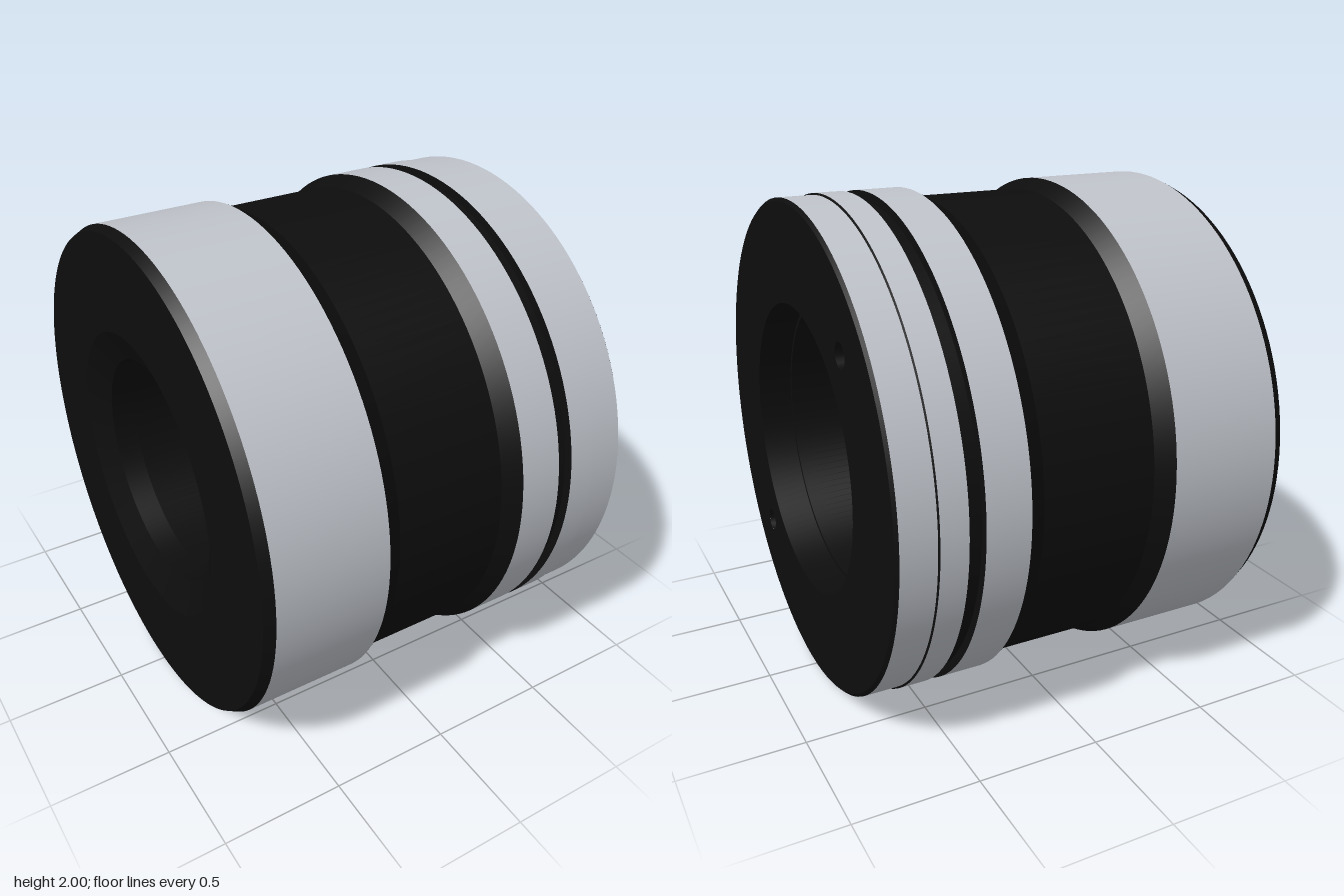
import * as THREE from 'three';

const SEG = 128;
const silver = new THREE.MeshStandardMaterial({ color: 0xc0c4cb });
const black = new THREE.MeshStandardMaterial({ color: 0x0d0d0d });

// Each profile is a run of [x, radius]; every span is its own lathe so edges stay crisp.
function turned(name, material, profile, segments = SEG) {
  const part = new THREE.Group();
  part.name = name;
  for (let i = 0; i < profile.length - 1; i++) {
    const points = [profile[i], profile[i + 1]].map(([x, r]) => new THREE.Vector2(r, x));
    const geometry = new THREE.LatheGeometry(points, segments);
    geometry.rotateZ(-Math.PI / 2);
    const mesh = new THREE.Mesh(geometry, material);
    mesh.name = name;
    part.add(mesh);
  }
  return part;
}

export function createModel() {
  const model = new THREE.Group();
  model.name = 'ringBody';
  const body = new THREE.Group();
  body.name = 'turnedBody';
  body.position.y = 1;
  model.add(body);

  // Outside, from the right end to the left end
  body.add(
    turned('rightEndFace', black, [[-0.8, 0.59], [-0.8, 0.98], [-0.76, 1]]),
    turned('wideBand', silver, [[-0.76, 1], [-0.3, 1]]),
    turned('waist', black, [[-0.3, 1], [-0.23, 0.96], [0.23, 0.96], [0.3, 1]]),
    turned('middleBand', silver, [[0.3, 1], [0.475, 1]]),
    turned('sealGroove', black, [[0.475, 1], [0.475, 0.965], [0.538, 0.965], [0.538, 1]]),
    turned('narrowBand', silver, [[0.538, 1], [0.645, 1]]),
    turned('seam', black, [[0.645, 1], [0.65, 0.993]]),
    turned('endBand', silver, [[0.65, 0.993], [0.788, 0.993]]),
    turned('endChamfer', black, [[0.788, 0.993], [0.8, 0.98]]),
    // Bore: counterbore with a small step, long taper, short lip, countersink
    turned('bore', black, [
      [0.8, 0.59], [0.66, 0.585], [0.66, 0.57], [-0.64, 0.475],
      [-0.64, 0.465], [-0.74, 0.465], [-0.8, 0.59],
    ])
  );

  // Left end face with two blind holes
  const holeR = 0.05;
  const holes = [[0.53, 0.54], [-0.53, -0.54]];
  const face = new THREE.Shape().absarc(0, 0, 0.98, 0, Math.PI * 2);
  face.holes.push(new THREE.Path().absarc(0, 0, 0.59, 0, Math.PI * 2, true));
  for (const [u, v] of holes) {
    face.holes.push(new THREE.Path().absarc(u, v, holeR, 0, Math.PI * 2, true));
    const pin = turned('blindHole', black, [[0, holeR], [-0.05, holeR], [-0.05, 0]], 24);
    pin.position.set(0.8, v, -u);
    body.add(pin);
  }
  const endFace = new THREE.Mesh(new THREE.ShapeGeometry(face, SEG / 2), black);
  endFace.name = 'leftEndFace';
  endFace.rotation.y = Math.PI / 2;
  endFace.position.x = 0.8;
  body.add(endFace);

  return model;
}
